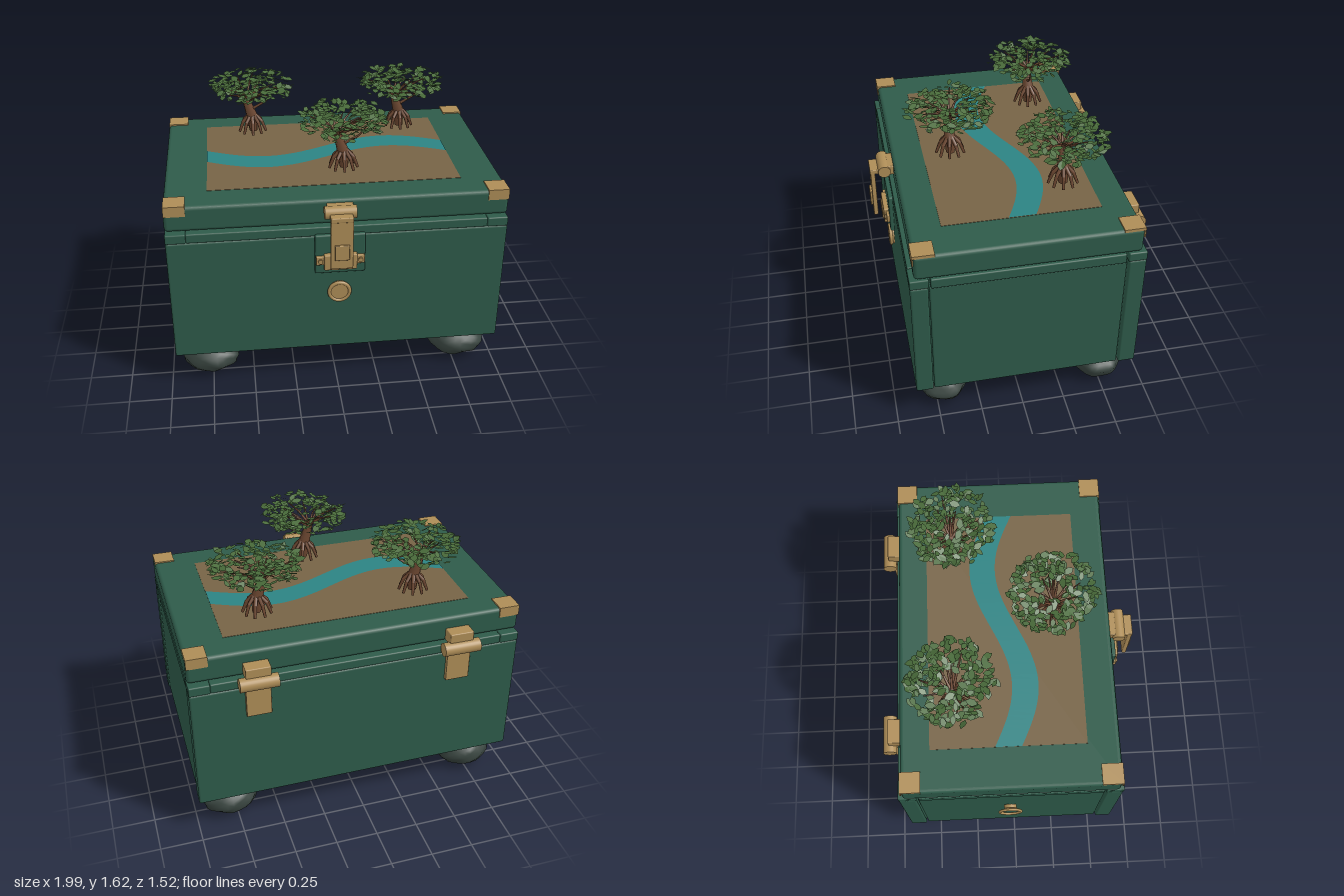
import * as THREE from 'three';
import { mergeGeometries, mergeVertices } from 'three/addons/utils/BufferGeometryUtils.js';
import { RoundedBoxGeometry } from 'three/addons/geometries/RoundedBoxGeometry.js';

const paint = (name, color, extra = {}) => {
  const m = new THREE.MeshStandardMaterial({ color, ...extra });
  m.name = name;
  return m;
};

function seeded(seed) {
  return () => {
    seed = (seed * 16807) % 2147483647;
    return seed / 2147483647;
  };
}

// Tapered round stick between two points
function stick(a, b, r0, r1) {
  const d = b.clone().sub(a);
  const g = new THREE.CylinderGeometry(r1, r0, d.length(), 7);
  g.applyQuaternion(new THREE.Quaternion().setFromUnitVectors(new THREE.Vector3(0, 1, 0), d.clone().normalize()));
  const c = a.clone().add(b).multiplyScalar(0.5);
  return g.translate(c.x, c.y, c.z);
}

export function createModel() {
  const model = new THREE.Group();
  model.name = 'chest';
  const green = paint('greenPaint', 0x2e5b4a);
  const brass = paint('brass', 0xae8d57);
  const stone = paint('darkStone', 0x38443f);
  const earth = paint('earth', 0x766346);
  const water = paint('water', 0x2c8383, { side: THREE.DoubleSide });
  const bark = paint('bark', 0x6b4630);
  const leaf = paint('leaves', 0x496b3a, { side: THREE.DoubleSide });
  const v = (x, y, z) => new THREE.Vector3(x, y, z);

  const add = (name, geo, mat, parent = model) => {
    const m = new THREE.Mesh(geo, mat);
    m.name = name;
    parent.add(m);
    return m;
  };
  // Box given by its limits, rounded when r > 0
  const box = (name, mat, x0, x1, y0, y1, z0, z1, r = 0) => {
    const s = [x1 - x0, y1 - y0, z1 - z0];
    const g = r ? new RoundedBoxGeometry(...s, 2, r) : new THREE.BoxGeometry(...s);
    return add(name, g.translate((x0 + x1) / 2, (y0 + y1) / 2, (z0 + z1) / 2), mat);
  };
  // Cylinder along the x or z axis
  const disc = (name, mat, axis, x, y, z, r, len, sides = 28) => {
    const g = new THREE.CylinderGeometry(r, r, len, sides);
    if (axis === 'x') g.rotateZ(Math.PI / 2); else g.rotateX(Math.PI / 2);
    return add(name, g.translate(x, y, z), mat);
  };

  // Body
  const X0 = -0.965, X1 = 0.99;
  box('baseSlab', green, -0.885, 0.91, 0.185, 0.24, -0.575, 0.53, 0.01);
  box('sidePanels', green, X0 + 0.008, X1 - 0.008, 0.22, 0.99, -0.57, 0.525, 0.01);
  box('frontPanel', green, X0, X1, 0.22, 0.995, 0.53, 0.63, 0.012);
  box('backPanel', green, X0, X1, 0.22, 0.995, -0.68, -0.578, 0.012);

  // Rim strips with blocks at the corners
  for (const [z0, z1] of [[0.53, 0.628], [-0.678, -0.578]]) {
    box('rimStrip', green, -0.85, 0.87, 0.993, 1.05, z0, z1, 0.008);
    box('rimCorner', green, X0, -0.85, 0.993, 1.05, z0 - 0.003, z1 + 0.003, 0.008);
    box('rimCorner', green, 0.87, X1, 0.993, 1.05, z0 - 0.003, z1 + 0.003, 0.008);
  }
  box('sideRim', green, X0, X0 + 0.1, 0.988, 1.05, -0.563, 0.517, 0.008);
  box('sideRim', green, X1 - 0.1, X1, 0.988, 1.05, -0.563, 0.517, 0.008);

  // Lid with brass corners
  box('lid', green, X0, X1, 1.057, 1.21, -0.65, 0.605, 0.022);
  for (const [x0, x1] of [[-0.963, -0.842], [0.868, 0.988]]) {
    for (const [z0, z1, f] of [[0.487, 0.608, 0.603], [-0.655, -0.535, -0.655]]) {
      box('cornerTop', brass, x0, x1, 1.2, 1.218, z0, z1);
      box('cornerFlange', brass, x0, x1, 1.155, 1.218, f, f + 0.007);
    }
  }

  // Landscape inlay with a winding river
  box('earthPanel', earth, -0.72, 0.75, 1.205, 1.212, -0.48, 0.42);
  const bend = (x) => -0.03 - 0.113 * Math.sin(((x - 0.015) / 1.47) * Math.PI * 2);
  const river = new THREE.PlaneGeometry(1.47, 0.154, 48, 1).rotateX(-Math.PI / 2).translate(0.015, 1.2145, 0);
  const rp = river.attributes.position;
  for (let i = 0; i < rp.count; i++) rp.setZ(i, rp.getZ(i) + bend(rp.getX(i)));
  add('river', river, water);

  // Front latch
  box('latchBacking', green, -0.13, 0.16, 0.76, 1.01, 0.625, 0.655, 0.01);
  box('catchPlate', brass, -0.08, 0.11, 0.795, 0.895, 0.65, 0.685, 0.008);
  box('catchEars', brass, -0.125, 0.155, 0.825, 0.88, 0.65, 0.672, 0.006);
  for (const x of [-0.1, 0.13]) disc('screw', brass, 'z', x, 0.852, 0.674, 0.014, 0.014, 16);
  box('latchMount', brass, -0.06, 0.09, 1.13, 1.19, 0.6, 0.65, 0.006);
  disc('latchBarrel', brass, 'x', 0.013, 1.16, 0.66, 0.037, 0.18);
  box('latchBridge', brass, -0.05, 0.078, 1.135, 1.165, 0.66, 0.745, 0.006);
  box('latchArm', brass, -0.05, 0.078, 0.838, 1.16, 0.715, 0.742, 0.006);
  box('latchBoss', brass, -0.028, 0.056, 0.9, 0.995, 0.715, 0.755, 0.005);
  box('latchHook', brass, -0.045, 0.073, 0.8, 0.87, 0.67, 0.692, 0.005);

  // Round medallion on the front
  disc('medallion', brass, 'z', 0.013, 0.627, 0.64, 0.062, 0.026, 32);
  add('medallionRing', new THREE.TorusGeometry(0.06, 0.011, 8, 32).translate(0.013, 0.627, 0.65), brass);

  // Ring handle on one end
  disc('handleBoss', brass, 'x', -0.975, 0.73, -0.03, 0.038, 0.022);
  add('handleRing', new THREE.TorusGeometry(0.066, 0.008, 10, 32).rotateY(Math.PI / 2)
    .scale(1, 1.05, 1).translate(-0.991, 0.65, -0.03), brass);

  // Back hinges
  for (const x of [-0.58, 0.61]) {
    box('hingeBlock', brass, x - 0.072, x + 0.072, 1.065, 1.14, -0.728, -0.645, 0.006);
    disc('hingeBarrel', brass, 'x', x, 1.045, -0.722, 0.04, 0.22);
    box('hingeLeaf', brass, x - 0.072, x + 0.072, 0.81, 1.05, -0.704, -0.675, 0.005);
  }

  // Boulder feet
  const feet = [[-0.758, 0.455], [0.785, 0.455], [-0.758, -0.503], [0.785, -0.503]];
  feet.forEach(([x, z], n) => {
    let g = new THREE.IcosahedronGeometry(1, 4);
    g.deleteAttribute('normal');
    g.deleteAttribute('uv');
    g = mergeVertices(g);
    const p = g.attributes.position, q = new THREE.Vector3();
    for (let i = 0; i < p.count; i++) {
      q.fromBufferAttribute(p, i);
      const k = 0.97 + 0.04 * Math.sin(q.x * 5 + n) * Math.cos(q.z * 6 - n) + 0.03 * Math.sin(q.y * 9 + q.x * 7 + n * 2);
      p.setXYZ(i, q.x * k, q.y * k, q.z * k);
    }
    g.scale(0.177, 0.101, 0.15).translate(x, 0.103, z);
    g.computeVertexNormals();
    add('boulderFoot', g, stone);
  });

  // Mangrove trees on prop roots
  const leafShape = new THREE.Shape([[0, -0.028], [0.017, -0.008], [0.014, 0.012], [0, 0.03], [-0.014, 0.012], [-0.017, -0.008]]
    .map(([a, b]) => new THREE.Vector2(a, b)));
  const leafGeo = new THREE.ShapeGeometry(leafShape).rotateX(-Math.PI / 2);
  [[-0.425, -0.33], [0.515, -0.315], [0.08, 0.26]].forEach(([x, z], n) => {
    const rnd = seeded(911 + n * 77);
    const tree = new THREE.Group();
    tree.name = 'mangroveTree';
    tree.position.set(x, 1.245, z);
    model.add(tree);

    const crown = v(-0.042, 0.23, 0);
    const wood = [
      stick(v(0.005, 0, 0), v(0, 0.1, 0), 0.026, 0.036),
      stick(v(0, 0.09, 0), crown, 0.036, 0.021),
    ];
    for (let i = 0; i < 9; i++) {
      const a = (i / 9) * Math.PI * 2 + 0.2;
      const at = (r, y) => v(Math.cos(a) * r, y, Math.sin(a) * r);
      wood.push(stick(at(0.015, 0.11), at(0.06, 0.065), 0.012, 0.011));
      wood.push(stick(at(0.058, 0.068), at(0.085, 0), 0.011, 0.008));
    }
    for (let i = 0; i < 14; i++) {
      const a = i * 2.4, r = 0.1 + 0.11 * rnd();
      const start = v(-0.036, 0.19 + 0.03 * rnd(), 0);
      const end = v(Math.cos(a) * r, 0.27 + 0.05 * rnd(), Math.sin(a) * r);
      const mid = start.clone().lerp(end, 0.5).add(v(0, 0.015, 0));
      wood.push(stick(start, mid, 0.01, 0.006), stick(mid, end, 0.006, 0.003));
    }
    wood.push(stick(v(-0.01, 0.14, 0), v(0.09, 0.2, 0.01), 0.01, 0.006));
    wood.push(stick(v(0.09, 0.2, 0.01), v(0.14, 0.27, 0.02), 0.006, 0.003));
    add('trunkAndRoots', mergeGeometries(wood), bark, tree);

    const leaves = [];
    for (let i = 0; i < 270; i++) {
      const r = 0.25 * Math.sqrt(0.05 + 0.95 * rnd()), a = rnd() * Math.PI * 2;
      const h = 0.02 + 0.045 * Math.sqrt(1 - (r / 0.26) ** 2);
      const s = 0.75 + 0.5 * rnd();
      leaves.push(leafGeo.clone().scale(s, s, s)
        .rotateX((rnd() - 0.5) * 0.9).rotateZ((rnd() - 0.5) * 0.9).rotateY(rnd() * 6.28)
        .translate(Math.cos(a) * r, 0.3 + (rnd() * 2 - 1) * h, Math.sin(a) * r));
    }
    add('leafCanopy', mergeGeometries(leaves), leaf, tree);
  });

  return model;
}
